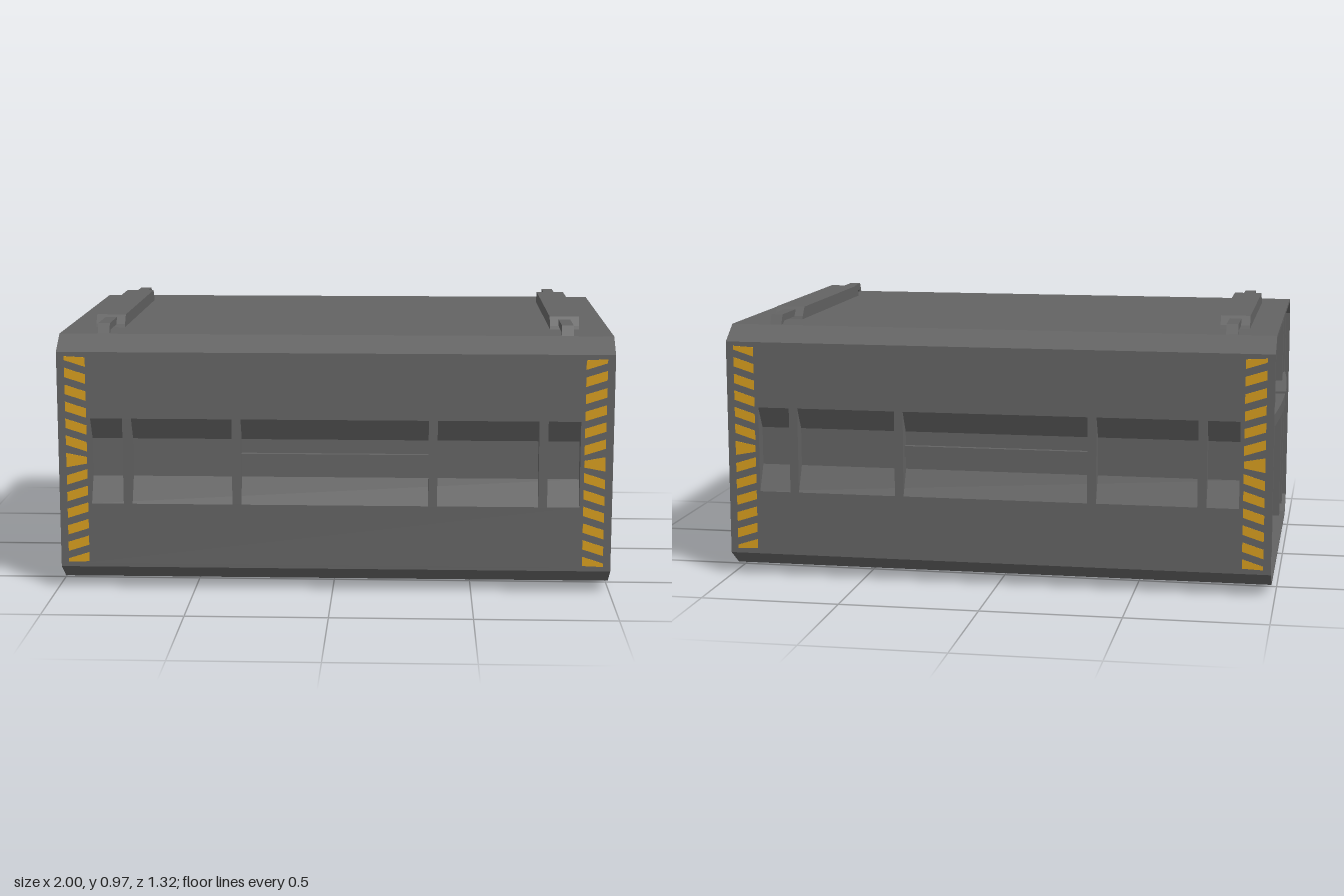
import * as THREE from 'three';

const X0 = -0.985, X1 = 1.0, CX = (X0 + X1) / 2;

export function createModel() {
  const root = new THREE.Group();
  root.name = 'cargoContainer';
  const grey = new THREE.MeshStandardMaterial({ color: 0x636363, side: THREE.DoubleSide });
  grey.name = 'grey metal';
  const yellow = new THREE.MeshStandardMaterial({ color: 0xd49c1e, side: THREE.DoubleSide });
  yellow.name = 'hazard yellow';

  const add = (parent, name, geo, mat = grey) => {
    const mesh = new THREE.Mesh(geo, mat);
    mesh.name = name;
    parent.add(mesh);
    return mesh;
  };
  const box = (parent, name, x0, x1, y0, y1, z0, z1) =>
    add(parent, name, new THREE.BoxGeometry(x1 - x0, y1 - y0, z1 - z0)
      .translate((x0 + x1) / 2, (y0 + y1) / 2, (z0 + z1) / 2));
  const shapeOf = (pts) => new THREE.Shape(pts.map(([a, b]) => new THREE.Vector2(a, b)));
  // Outline given as [z, y], extruded along x
  const prism = (parent, name, pts, x0, x1) =>
    add(parent, name, new THREE.ExtrudeGeometry(shapeOf(pts.map(([z, y]) => [-z, y])),
      { depth: x1 - x0, bevelEnabled: false }).rotateY(Math.PI / 2).translate(x0, 0, 0));

  // Roof and floor sheets with sloping edges
  prism(root, 'roof', [[-0.66, 0.87], [-0.58, 0.925], [0.58, 0.925], [0.66, 0.87],
    [0.66, 0.858], [0.577, 0.913], [-0.577, 0.913], [-0.66, 0.858]], X0, X1);
  prism(root, 'floor', [[-0.66, 0.083], [-0.58, 0.027], [0.58, 0.027], [0.66, 0.083],
    [0.66, 0.095], [0.577, 0.039], [-0.577, 0.039], [-0.66, 0.095]], X0, X1);

  // Side walls, built once about the centre and turned for the back
  const recess = [[0.66, 0.63], [0.615, 0.55], [0.615, 0.412], [0.66, 0.318]];
  const W = (X1 - X0) / 2, R = 0.88;
  for (const turn of [0, Math.PI]) {
    const side = new THREE.Group();
    side.name = turn ? 'backWall' : 'frontWall';
    side.position.x = CX;
    side.rotation.y = turn;
    root.add(side);

    const panel = shapeOf([[-W, 0.085], [W, 0.085], [W, 0.868], [-W, 0.868]]);
    panel.holes.push(new THREE.Path([[-R, 0.318], [-R, 0.63], [R, 0.63], [R, 0.318]]
      .map(([x, y]) => new THREE.Vector2(x, y))));
    add(side, 'wallPanel', new THREE.ShapeGeometry(panel).translate(0, 0, 0.66));

    // Recessed pan: three strips
    for (let i = 0; i < 3; i++) {
      const [za, ya] = recess[i], [zb, yb] = recess[i + 1];
      const geo = new THREE.PlaneGeometry(2 * R, Math.hypot(za - zb, ya - yb));
      geo.rotateX(Math.atan2(za - zb, ya - yb));
      geo.translate(0, (ya + yb) / 2, (za + zb) / 2);
      add(side, 'recessStrip', geo);
    }
    // Ribs and closed ends of the recess
    for (const x of [-0.745, -0.352, 0.352, 0.745])
      prism(side, 'recessRib', recess, x - 0.016, x + 0.016);
    for (const s of [-1, 1])
      prism(side, 'recessEnd', recess, s * R - 0.004, s * R + 0.004);
    box(side, 'recessRail', -0.336, 0.336, 0.46, 0.5, 0.612, 0.635);

    // Hazard stripes fan outward from the middle of each column
    for (const s of [-1, 1]) {
      for (let i = -6; i <= 6; i++) {
        const y = 0.477 + i * 0.0615, t = Math.sign(i) * 0.012, xi = 0.89, xo = 0.965;
        const hi = i === 0 ? 0.026 : 0.017, ho = i === 0 ? 0.012 : 0.017;
        const clip = (v) => Math.min(0.855, Math.max(0.1, v));
        const pts = [[xi, y - t - ho], [xo, y + t - hi], [xo, y + t + hi], [xi, y - t + ho]]
          .map(([x, v]) => [s * x, clip(v)]);
        add(side, 'hazardStripe', new THREE.ExtrudeGeometry(shapeOf(pts),
          { depth: 0.002, bevelEnabled: false }).translate(0, 0, 0.66), yellow);
      }
    }
  }

  // Roof rails with narrow arms, and skids beneath
  for (const x of [-0.827, 0.837]) {
    prism(root, 'roofRail', [[-0.41, 0.925], [-0.405, 0.937], [-0.38, 0.969],
      [0.38, 0.969], [0.405, 0.937], [0.41, 0.925]], x - 0.053, x + 0.053);
    for (const s of [-1, 1]) {
      prism(root, 'railArm', [[0.39, 0.96], [0.555, 0.96], [0.575, 0.92], [0.585, 0.9],
        [0.56, 0.9], [0.54, 0.935], [0.39, 0.935]].map(([z, y]) => [s * z, y]), x - 0.021, x + 0.021);
    }
    prism(root, 'skid', [[-0.41, 0.027], [-0.38, 0], [0.38, 0], [0.41, 0.027]], x - 0.053, x + 0.053);
  }

  // Cross-braced end frame on the left
  const brace = new THREE.Group();
  brace.name = 'crossBraceFrame';
  root.add(brace);
  box(brace, 'centrePost', 0.935, 0.985, 0.065, 0.895, -0.028, 0.028);
  box(brace, 'hub', 0.932, 0.99, 0.44, 0.506, -0.245, 0.245);
  box(brace, 'crossBar', 0.945, 0.98, 0.46, 0.493, -0.6, 0.6);
  for (const sz of [-1, 1]) {
    for (const sy of [-1, 1]) {
      const a = new THREE.Vector2(0.597, 0.477 + sy * 0.4), b = new THREE.Vector2(0.2, 0.477 + sy * 0.015);
      const d = b.clone().sub(a), n = new THREE.Vector2(-d.y, d.x).normalize().multiplyScalar(0.017);
      prism(brace, 'diagonal', [[a.x + n.x, a.y + n.y], [b.x + n.x, b.y + n.y],
        [b.x - n.x, b.y - n.y], [a.x - n.x, a.y - n.y]].map(([z, y]) => [sz * z, y]), 0.942, 0.983);
    }
  }

  // Barred end frame on the right, with a bowed cross rail
  const bars = new THREE.Group();
  bars.name = 'barredFrame';
  root.add(bars);
  for (const z of [-0.555, -0.33, 0.33, 0.555])
    box(bars, 'verticalBar', -0.972, -0.93, 0.08, 0.868, z - 0.023, z + 0.023);
  const bow = [];
  for (let i = 0; i <= 8; i++) {
    const z = -0.58 + i * 0.145;
    bow.push([-0.997 + 0.075 * z * z, -z]);
  }
  const rail = shapeOf([...bow, [-0.945, -0.58], [-0.945, 0.58]]);
  add(bars, 'bowedRail', new THREE.ExtrudeGeometry(rail, { depth: 0.045, bevelEnabled: false })
    .rotateX(-Math.PI / 2).translate(0, 0.585, 0));
  box(bars, 'latch', -1.0, -0.96, 0.583, 0.638, -0.02, 0.02);
  return root;
}
